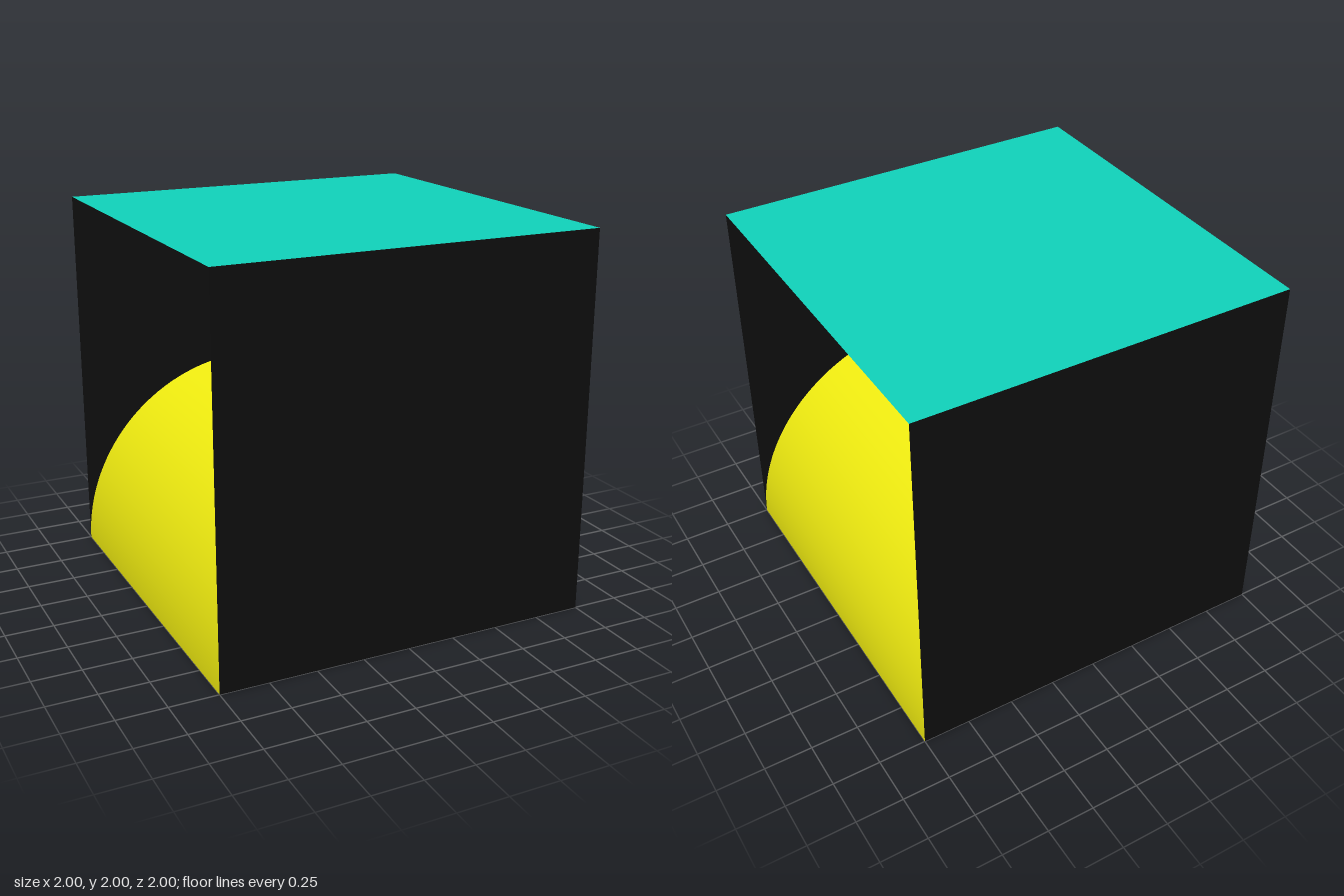
import * as THREE from 'three';

const mat = (color) => new THREE.MeshStandardMaterial({ color, side: THREE.DoubleSide });

export function createModel() {
  const model = new THREE.Group();
  const black = mat(0x0c0c0c), teal = mat(0x10d0b8), yellow = mat(0xf2ee10);

  const add = (parent, name, geometry, material, y = 0, z = 0) => {
    const mesh = new THREE.Mesh(geometry, material);
    mesh.name = name;
    mesh.position.set(0, y, z);
    parent.add(mesh);
  };

  // Paper-thin front and back walls, each facing outward
  add(model, 'frontPanel', new THREE.PlaneGeometry(2, 2), black, 1, 1);
  add(model, 'backPanel', new THREE.PlaneGeometry(2, 2).rotateY(Math.PI), black, 1, -1);

  // Paper-thin roof
  add(model, 'topPanel', new THREE.PlaneGeometry(2, 2).rotateX(-Math.PI / 2), teal, 2);

  // Half cylinder lying along z between the walls, with a flat underside
  const halfCylinder = new THREE.Group();
  halfCylinder.name = 'halfCylinder';
  add(halfCylinder, 'curvedSurface',
    new THREE.CylinderGeometry(1, 1, 2, 64, 1, true, Math.PI / 2, Math.PI).rotateX(Math.PI / 2), yellow);
  add(halfCylinder, 'underside', new THREE.PlaneGeometry(2, 2).rotateX(Math.PI / 2), yellow);
  model.add(halfCylinder);

  return model;
}
